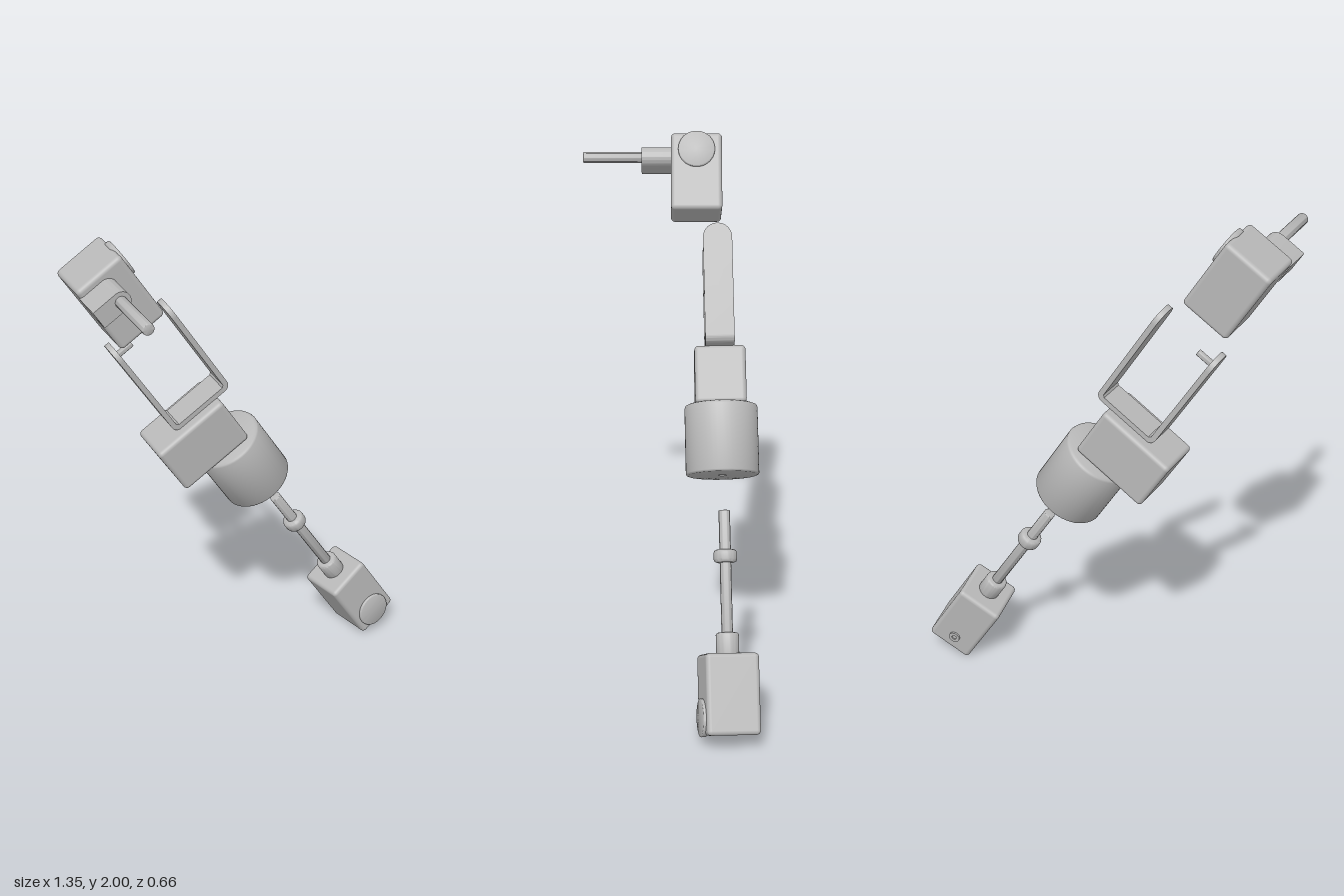
import * as THREE from 'three';
import { toCreasedNormals } from 'three/addons/utils/BufferGeometryUtils.js';
import { RoundedBoxGeometry } from 'three/addons/geometries/RoundedBoxGeometry.js';

const grey = new THREE.MeshStandardMaterial({ color: 0xb8b8b8 });
grey.name = 'plain grey';

function add(parent, name, geometry, x = 0, y = 0, z = 0) {
  const mesh = new THREE.Mesh(geometry, grey);
  mesh.name = name;
  mesh.position.set(x, y, z);
  parent.add(mesh);
  return mesh;
}

function section(parent, name, position, tiltX, tiltZ) {
  const group = new THREE.Group();
  group.name = name;
  group.position.set(...position);
  group.rotation.set(THREE.MathUtils.degToRad(tiltX), 0, THREE.MathUtils.degToRad(tiltZ));
  parent.add(group);
  return group;
}

// Turned part: profile runs from the bottom centre to the top centre
function turned(points) {
  const profile = points.map(([r, y]) => new THREE.Vector2(r, y));
  return toCreasedNormals(new THREE.LatheGeometry(profile, 48), 0.9);
}

// Cylinder from y0 to y1 with bevelled rims
function bevelled(r, y0, y1, b) {
  const k = b * 0.3;
  return turned([[0, y0], [r - b, y0], [r - k, y0 + k], [r, y0 + b],
    [r, y1 - b], [r - k, y1 - k], [r - b, y1], [0, y1]]);
}

const box = (w, h, d, r = 0.016) => new RoundedBoxGeometry(w, h, d, 4, r);

const extruded = (shape, depth) => toCreasedNormals(
  new THREE.ExtrudeGeometry(shape, { depth, bevelEnabled: false, curveSegments: 20 }), 0.6);

function buildTopServo(root) {
  const g = section(root, 'topServo', [-0.521, 1.82, -0.1], 0, 31.8);
  add(g, 'topServoCase', box(0.194, 0.297, 0.192));
  // Round output disc on the side
  add(g, 'topServoDisc', bevelled(0.069, 0, 0.02, 0.003), 0.087, 0.083, 0).rotation.z = -Math.PI / 2;
  // Round-ended mounting block with its shaft
  const d = new THREE.Shape();
  d.moveTo(-0.095, -0.037);
  d.lineTo(0, -0.037);
  d.absarc(0, 0, 0.037, -Math.PI / 2, Math.PI / 2, false);
  d.lineTo(-0.095, 0.037);
  d.closePath();
  add(g, 'shaftBlock', extruded(d, 0.118), -0.004, 0.083, 0.09);
  add(g, 'outputShaft', bevelled(0.021, 0, 0.26, 0.003), -0.004, 0.083, 0.17).rotation.x = Math.PI / 2;
}

function buildMotorAndFork(root) {
  const g = section(root, 'motorAndFork', [-0.0555, 1.076, -0.188], 1.2, 31.8);
  // Motor drum with a bore in its lower face
  add(g, 'motorDrum', turned([[0, -0.23], [0.015, -0.23], [0.015, -0.263], [0.128, -0.263],
    [0.133, -0.261], [0.136, -0.256], [0.136, -0.012], [0.133, -0.004], [0.124, 0], [0, 0]]));
  add(g, 'gearCase', box(0.304, 0.216, 0.19), -0.084, 0.108, 0);

  // U-shaped fork: bent strip with rounded outer corners
  const W = 0.131, T = 0.02, R = 0.028, D = 0.108, y0 = 0.215, y1 = 0.665 - D / 2;
  const u = new THREE.Shape();
  u.moveTo(-W, y1);
  u.lineTo(-W, y0 + R);
  u.absarc(-W + R, y0 + R, R, Math.PI, Math.PI * 1.5, false);
  u.lineTo(W - R, y0);
  u.absarc(W - R, y0 + R, R, -Math.PI / 2, 0, false);
  u.lineTo(W, y1);
  u.lineTo(W - T, y1);
  u.lineTo(W - T, y0 + R);
  u.lineTo(W - R, y0 + T);
  u.lineTo(-W + R, y0 + T);
  u.lineTo(-W + T, y0 + R);
  u.lineTo(-W + T, y1);
  u.closePath();
  add(g, 'forkStrip', extruded(u, D), 0, 0, -D / 2);
  // Rounded arm ends
  for (const side of [-1, 1]) {
    const end = new THREE.CylinderGeometry(D / 2, D / 2, T, 48);
    add(g, side < 0 ? 'rightArmEnd' : 'leftArmEnd', end, side * (W - T / 2), y1, 0).rotation.z = Math.PI / 2;
  }
  // Pivot pin on the inside of one arm
  add(g, 'pivotPin', bevelled(0.012, 0, 0.07, 0.002), -W + T / 2, y1, 0).rotation.z = -Math.PI / 2;
}

function buildBottomServo(root) {
  const g = section(root, 'bottomServoAndRod', [0.519, 0.18, -0.209], 1.2, 32.2);
  const servo = new THREE.Group();
  servo.name = 'bottomServo';
  servo.rotation.y = THREE.MathUtils.degToRad(10.5);
  g.add(servo);
  add(servo, 'bottomServoCase', box(0.182, 0.292, 0.196));
  add(servo, 'bottomServoDisc', bevelled(0.069, 0, 0.02, 0.003), 0, -0.082, 0.088).rotation.x = Math.PI / 2;
  // Small bored boss on the back
  add(servo, 'backBoss', turned([[0, 0], [0.022, 0], [0.022, 0.016], [0.01, 0.016], [0.01, 0.011], [0, 0.011]]),
    0, -0.082, -0.089).rotation.x = -Math.PI / 2;
  // Neck, rod and collar
  add(g, 'rodNeck', bevelled(0.042, 0.13, 0.222, 0.008));
  add(g, 'rod', bevelled(0.021, 0.2, 0.67, 0.003));
  add(g, 'rodCollar', bevelled(0.043, 0.477, 0.525, 0.012));
}

export function createModel() {
  const root = new THREE.Group();
  root.name = 'explodedServoArm';
  buildTopServo(root);
  buildMotorAndFork(root);
  buildBottomServo(root);
  return root;
}
